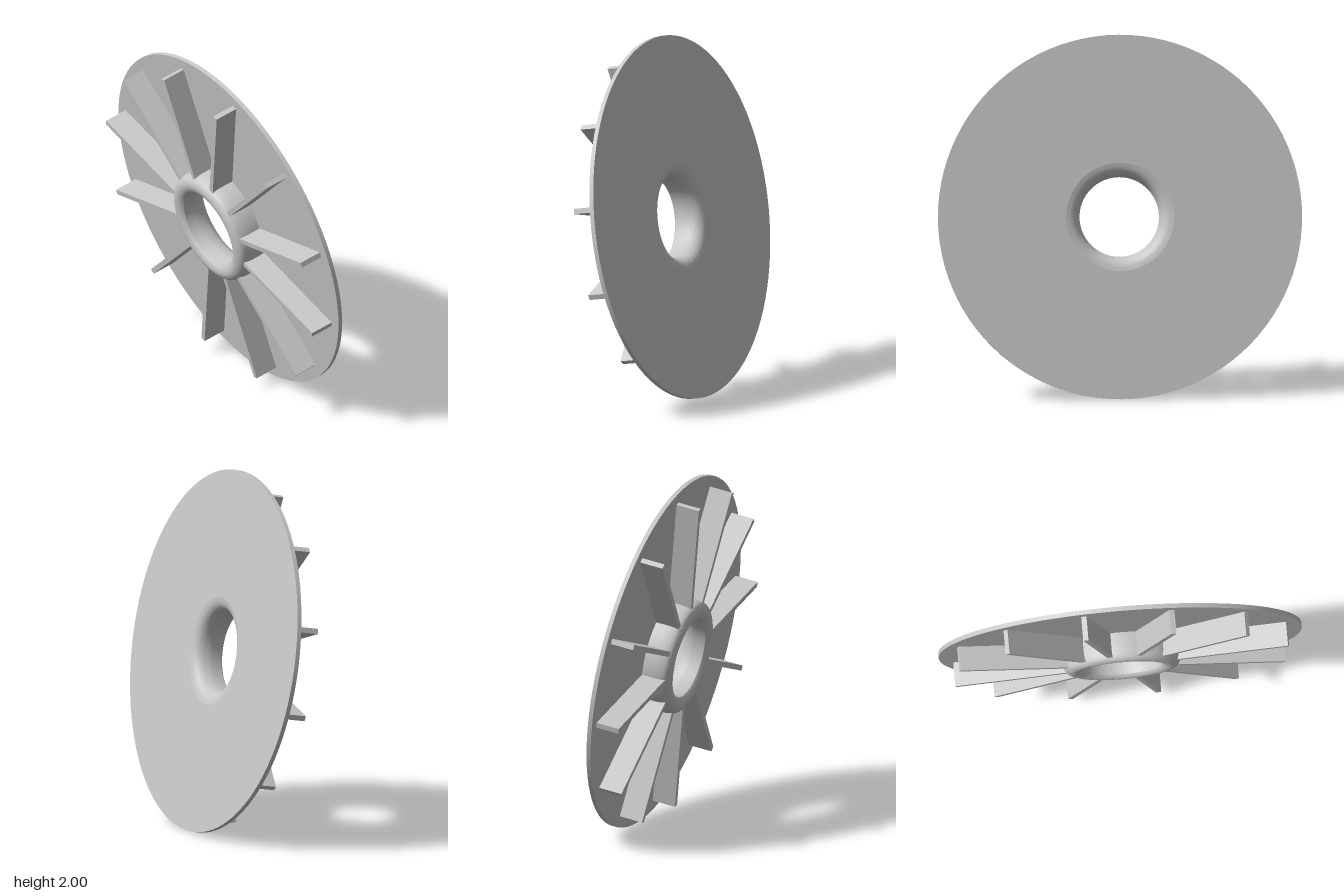
import * as THREE from 'three';
import { toCreasedNormals } from 'three/addons/utils/BufferGeometryUtils.js';

const deg = THREE.MathUtils.degToRad;

// Revolve [radius, depth] points around the local z axis
function revolve(points, crease = 0.6) {
  const geo = new THREE.LatheGeometry(points.map(([r, z]) => new THREE.Vector2(r, z)), 96);
  geo.rotateX(Math.PI / 2);
  return toCreasedNormals(geo, crease);
}

function smooth(points, n) {
  const curve = new THREE.SplineCurve(points.map(([r, z]) => new THREE.Vector2(r, z)));
  return curve.getPoints(n).map((p) => [p.x, p.y]);
}

export function createModel() {
  const metal = new THREE.MeshStandardMaterial({ color: 0xc8c8c8 });
  metal.name = 'light grey metal';

  const model = new THREE.Group();
  model.name = 'impeller';
  const wheel = new THREE.Group();
  wheel.name = 'tiltedWheel';
  wheel.rotation.set(deg(10), deg(-60), 0, 'YXZ');
  wheel.position.set(0.041, 1, 0);
  model.add(wheel);

  const add = (name, geo, parent = wheel) => {
    const mesh = new THREE.Mesh(geo, metal);
    mesh.name = name;
    parent.add(mesh);
    return mesh;
  };

  // Thin back plate with a central hole
  const R = 1.013, half = 0.0125, hole = 0.3;
  add('backPlate', revolve([[hole, -half], [R, -half], [R, half], [hole, half], [hole, -half]]));

  // Rounded hub collar outside, flared bore inside
  add('hubCollar', revolve(smooth([
    [0.326, 0], [0.329, 0.05], [0.328, 0.11], [0.315, 0.153], [0.28, 0.171], [0.245, 0.166], [0.226, 0.152],
  ], 24), 1));
  add('hubBore', revolve(smooth([
    [0.226, 0.152], [0.222, 0.11], [0.222, 0.07], [0.235, 0.025], [0.262, -0.002], [0.3, -half],
  ], 24), 1));

  // Twelve straight radial blades
  const blades = new THREE.Group();
  blades.name = 'blades';
  wheel.add(blades);
  const inner = 0.29, outer = 0.95, front = 0.148;
  const bladeGeo = new THREE.BoxGeometry(outer - inner, 0.03, front);
  bladeGeo.translate((inner + outer) / 2, 0, front / 2);
  for (let i = 0; i < 12; i++) {
    add('blade', bladeGeo, blades).rotation.z = deg(13.2 + i * 30);
  }

  return model;
}
